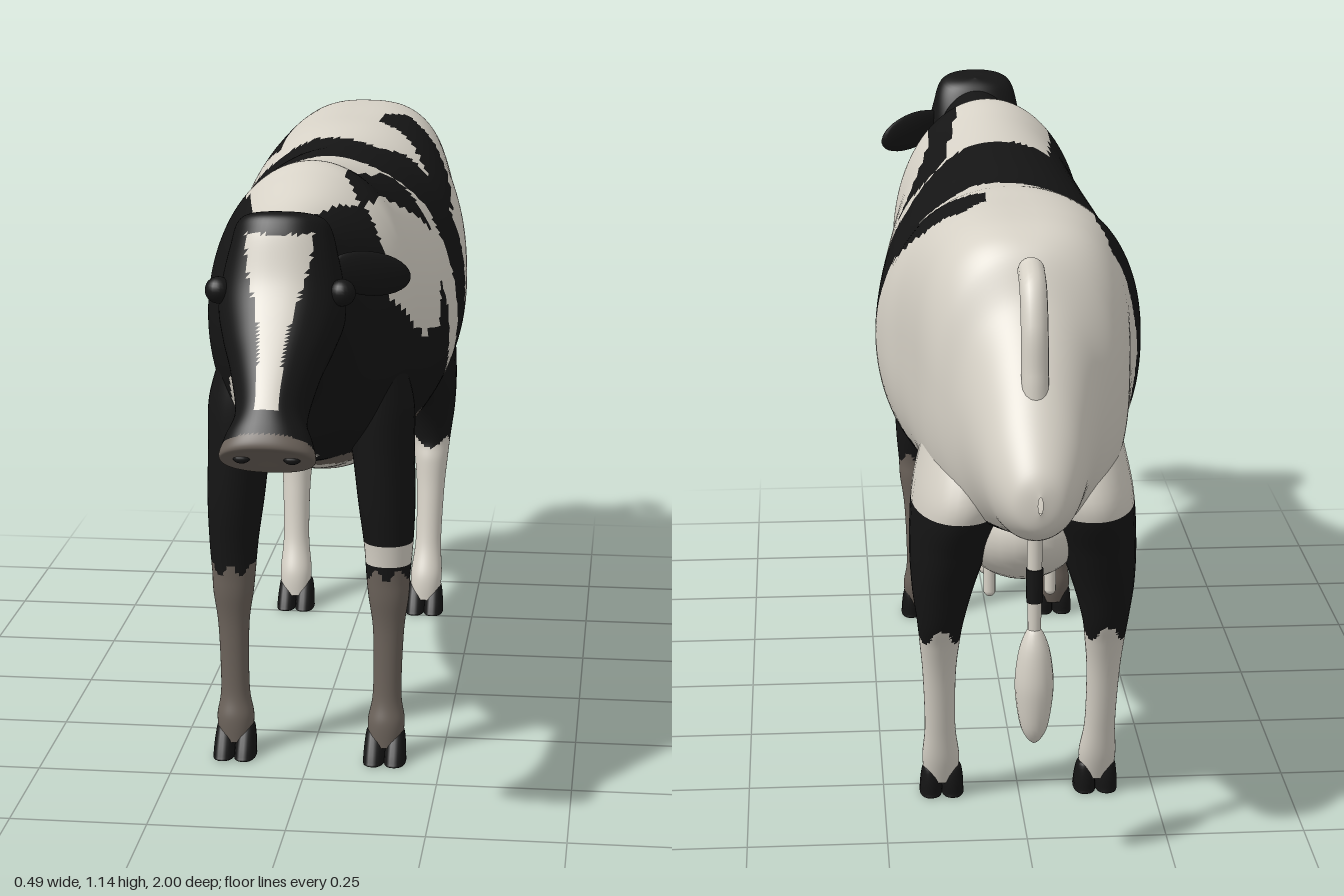
import * as THREE from 'three';

const mat = (name, color) => Object.assign(new THREE.MeshStandardMaterial({ color }), { name });

// Catmull-Rom sample of a list of number rows, t in 0..1
function sample(rows, t) {
  const f = t * (rows.length - 1), i = Math.min(Math.floor(f), rows.length - 2), u = f - i;
  const at = k => rows[Math.max(0, Math.min(rows.length - 1, k))];
  const [a, b, c, d] = [at(i - 1), at(i), at(i + 1), at(i + 2)];
  return b.map((_, k) => b[k] + 0.5 * u * (c[k] - a[k]
    + u * (2 * a[k] - 5 * b[k] + 4 * c[k] - d[k] + u * (3 * (b[k] - c[k]) + d[k] - a[k]))));
}

const spow = (v, p) => Math.sign(v) * Math.pow(Math.abs(v), p);

// Loft of oval rings. Row: [z1, y1, z2, y2, halfWidth, exponent, centreX], point 1 is front/top.
// paint(x, y, z, s) gives a material index; s runs -1..1 around the ring, 0 at point 1.
function loft(name, rows, rings, seg, mats, paint) {
  const pos = [], faces = mats.map(() => []);
  for (let i = 0; i <= rings; i++) {
    const [z1, y1, z2, y2, w, p, cx] = sample(rows, i / rings);
    for (let j = 0; j < seg; j++) {
      const a = (j / seg * 2 - 1) * Math.PI, c = spow(Math.cos(a), p), s = spow(Math.sin(a), p);
      pos.push(cx + Math.max(w, 0) * s, (y1 + y2) / 2 + (y1 - y2) / 2 * c, (z1 + z2) / 2 + (z1 - z2) / 2 * c);
    }
  }
  for (let i = 0; i < rings; i++) for (let j = 0; j < seg; j++) {
    const k = (j + 1) % seg, a = i * seg + j, b = i * seg + k, c = a + seg, d = b + seg;
    for (const t of [[a, c, b], [b, c, d]]) {
      const m = n => (pos[t[0] * 3 + n] + pos[t[1] * 3 + n] + pos[t[2] * 3 + n]) / 3;
      faces[paint ? paint(m(0), m(1), m(2), (j + 0.5) / seg * 2 - 1) : 0].push(...t);
    }
  }
  const g = new THREE.BufferGeometry();
  g.setAttribute('position', new THREE.Float32BufferAttribute(pos, 3));
  g.setIndex(faces.flat());
  let start = 0;
  faces.forEach((f, n) => { if (f.length) g.addGroup(start, f.length, n); start += f.length; });
  g.computeVertexNormals();
  const mesh = new THREE.Mesh(g, mats);
  mesh.name = name;
  return mesh;
}

function inside(poly, u, v) {
  let hit = false;
  poly.forEach(([x, y], i) => {
    const [p, q] = poly[(i + 1) % poly.length];
    if ((y > v) !== (q > v) && u < (p - x) * (v - y) / (q - y) + x) hit = !hit;
  });
  return hit;
}

// Coat patches on the unrolled body: [z, s]
const whites = [
  [[.58, -.12], [.58, .06], [.45, .12], [.40, .2], [.45, .42], [.36, .51], [.25, .53], [.11, .52], [.08, .42], [.02, .5],
    [-.02, .58], [-.1, .66], [-.14, .66], [-.12, .6], [-.06, .47], [-.03, .33], [-.04, .27], [0, .2], [.05, .13],
    [.08, -.15], [.29, -.22], [.53, -.17]],
  [[-.28, -.08], [-.22, .08], [-.26, .15], [-.25, .3], [-.23, .4], [-.19, .5], [-.22, .58], [-.26, .63], [-.42, .7],
    [-.45, 1.1], [-1.1, 1.1], [-1.1, -1.1], [-.5, -1.1], [-.42, -.68], [-.3, -.65], [-.2, -.55], [-.22, -.45], [-.3, -.3], [-.27, -.2]],
];
const blacks = [
  [[.42, .2], [.25, .22], [.1, .27], [.02, .33], [.01, .2], [.05, .15], [.2, .13], [.35, .1]],
  [[-.48, .05], [-.53, .12], [-.46, .25], [-.38, .3], [-.26, .34], [-.24, .25], [-.36, .14], [-.4, .05]],
  [[-.33, -.2], [-.5, -.2], [-.62, -.27], [-.55, -.4], [-.42, -.5], [-.45, -.6], [-.38, -.6], [-.33, -.45], [-.4, -.32]],
];
const chestPatch = [[-.13, .77], [-.07, .76], [-.05, .72], [0, .68], [.03, .62], [0, .6], [-.06, .57], [-.12, .57], [-.14, .65]];
const BLACK = 0, WHITE = 1, BROWN = 2;

function paintBody(x, y, z, s) {
  const wob = 0.008 * Math.sin(z * 23);
  if (z < .4 && z > -.43 && y < .59 + wob) return y < .56 + wob ? WHITE : BROWN;
  if (z > .42 && inside(chestPatch, x, y)) return WHITE;
  if (z < -.43 && z > -.8 && y < .6 + wob) return BLACK;
  if (blacks.some(p => inside(p, z, s))) return BLACK;
  return whites.some(p => inside(p, z, s)) ? WHITE : BLACK;
}

function paintHead(x, y, z, s) {
  if (z - y > .2) return BROWN;
  const t = THREE.MathUtils.smoothstep(y, .9, 1.07);
  return Math.abs(s) < .4 && y > .825 && y < 1.085 && Math.abs(x) < .021 + .036 * t ? WHITE : BLACK;
}

export function createModel() {
  const cow = new THREE.Group();
  cow.name = 'cow';
  const black = mat('blackCoat', 0x151515), white = mat('whiteCoat', 0xd6d1c6), brown = mat('greyBrownSkin', 0x6b625a);
  const coat = [black, white, brown];
  const add = (name, geo, m, x, y, z, parent = cow) => {
    const mesh = new THREE.Mesh(geo, m);
    mesh.name = name;
    mesh.position.set(x, y, z);
    parent.add(mesh);
    return mesh;
  };

  // Body and neck: [z, top, bottom, half width, exponent], rump to neck
  const body = [
    [-1, .73, .70, .004, 1], [-.985, .77, .66, .045, 1], [-.93, .84, .63, .077, 1], [-.86, .92, .61, .10, 1],
    [-.79, 1.0, .59, .125, .95], [-.74, 1.08, .58, .16, .85], [-.68, 1.11, .575, .18, .75], [-.58, 1.115, .57, .195, .72],
    [-.46, 1.11, .56, .215, .77], [-.36, 1.105, .53, .238, .9], [-.22, 1.087, .49, .247, 1], [-.08, 1.095, .48, .24, 1],
    [.1, 1.105, .495, .22, 1], [.24, 1.12, .53, .2, 1], [.33, 1.135, .555, .195, 1], [.38, 1.12, .58, .185, 1],
    [.46, 1.09, .605, .155, 1], [.54, 1.08, .65, .13, 1], [.6, 1.08, .74, .11, 1], [.68, 1.085, .83, .09, 1], [.76, 1.08, .93, .06, 1],
  ].map(([z, t, b, w, p]) => [z, t, z, b, w, p, 0]);
  cow.add(loft('body', body, 180, 112, coat, paintBody));

  // Head: front edge, back edge, half width
  const head = [
    [.73, 1.11, .72, 1.11, 0], [.775, 1.117, .69, 1.08, .07], [.80, 1.09, .66, .98, .093], [.83, 1.01, .68, .89, .108],
    [.87, .95, .73, .85, .095], [.91, .90, .79, .81, .075], [.955, .84, .85, .75, .06], [.985, .80, .885, .72, .074],
    [1, .77, .91, .705, .08], [.985, .757, .925, .71, .06], [.955, .735, .955, .735, 0],
  ].map(r => [...r, .9, 0]);
  cow.add(loft('head', head, 90, 64, coat, paintHead));
  for (const side of [-1, 1]) {
    add('eye', new THREE.SphereGeometry(.023, 20, 14), black, side * .105, .985, .785);
    add('nostril', new THREE.SphereGeometry(.012, 12, 8), black, side * .042, .74, .962).scale.set(1.2, .7, .7);
  }
  const ear = add('ear', new THREE.SphereGeometry(1, 24, 16), black, .14, 1.0, .69);
  ear.scale.set(.085, .038, .012);
  ear.rotation.set(0, .62, -.2);

  // Legs: [y, centre z, half depth, centre x, half width]
  const frontRows = [
    [.8, .35, .08, .11, .05], [.7, .352, .085, .125, .065], [.6, .355, .077, .135, .058], [.5, .357, .066, .142, .053],
    [.42, .36, .052, .146, .046], [.36, .365, .04, .146, .041], [.32, .365, .037, .147, .038], [.25, .365, .029, .147, .029],
    [.13, .366, .028, .145, .027], [.075, .37, .035, .144, .035], [.03, .375, .03, .143, .03],
  ];
  const hindRows = [
    [.74, -.61, .12, .09, .08], [.63, -.61, .17, .11, .085], [.53, -.62, .125, .13, .072], [.45, -.635, .078, .143, .056],
    [.38, -.635, .052, .148, .042], [.33, -.618, .043, .149, .036], [.26, -.6, .034, .149, .03], [.15, -.575, .03, .147, .028],
    [.08, -.552, .035, .145, .034], [.03, -.54, .028, .144, .03],
  ];
  const legPaint = {
    frontLeg: side => (x, y, z) => {
      const edge = .37 + .012 * Math.sin(x * 160);
      if (y < edge) return BROWN;
      return side > 0 && y < .43 && z > .36 && y > .39 ? WHITE : BLACK;
    },
    hindLeg: () => (x, y, z) => (y < .605 && y > .36 + .02 * Math.sin(z * 70) ? BLACK : WHITE),
  };
  for (const side of [-1, 1]) for (const [name, rows, zh] of [['frontLeg', frontRows, .385], ['hindLeg', hindRows, -.535]]) {
    const ovals = rows.map(([y, z, rz, x, rx]) => [z + rz, y, z - rz, y, rx, .95, side * x]);
    cow.add(loft(name, ovals, 80, 36, coat, legPaint[name](side)));
    // Cloven hoof
    for (const claw of [-1, 1]) {
      const x = side * .143 + claw * .02;
      cow.add(loft('hoof', [
        [zh, .062, zh - .02, .062, 0], [zh + .005, .06, zh - .034, .06, .014], [zh + .024, .035, zh - .038, .035, .019],
        [zh + .042, .008, zh - .036, .008, .0205], [zh + .042, 0, zh - .034, 0, .019], [zh, 0, zh, 0, 0],
      ].map(r => [...r, .85, x]), 20, 20, [black]));
    }
  }

  // Udder and teats
  add('udder', new THREE.SphereGeometry(1, 32, 24), white, 0, .56, -.56).scale.set(.125, .115, .19);
  for (const x of [-.055, .055]) for (const z of [-.43, -.56])
    add('teat', new THREE.CapsuleGeometry(.011, .05, 6, 12), white, x, z < -.5 ? .43 : .425, z);

  // Tail: raised root, thin hanging end, dark ring and tuft
  const root = new THREE.CatmullRomCurve3([[-.79, 1.058], [-.835, 1.04], [-.868, .98], [-.88, .9], [-.895, .82], [-.95, .77]]
    .map(([z, y]) => new THREE.Vector3(0, y, z)));
  add('tailRoot', new THREE.TubeGeometry(root, 40, .023, 16), white, 0, 0, 0);
  add('tailRootEnd', new THREE.SphereGeometry(.023, 16, 12), white, 0, 1.058, -.79);
  add('tailEnd', new THREE.CylinderGeometry(.014, .011, .24, 14), white, 0, .54, -.885);
  add('tailRing', new THREE.CylinderGeometry(.015, .014, .06, 14), black, 0, .535, -.885);
  const tuft = [[0, .245], [.012, .255], [.024, .28], [.032, .33], [.033, .37], [.026, .42], [.012, .455], [0, .46]]
    .map(p => new THREE.Vector2(...p));
  add('tailTuft', new THREE.LatheGeometry(new THREE.SplineCurve(tuft).getPoints(28).map(p => p.set(Math.max(p.x, 0), p.y)), 20),
    white, 0, 0, -.885);
  return cow;
}
